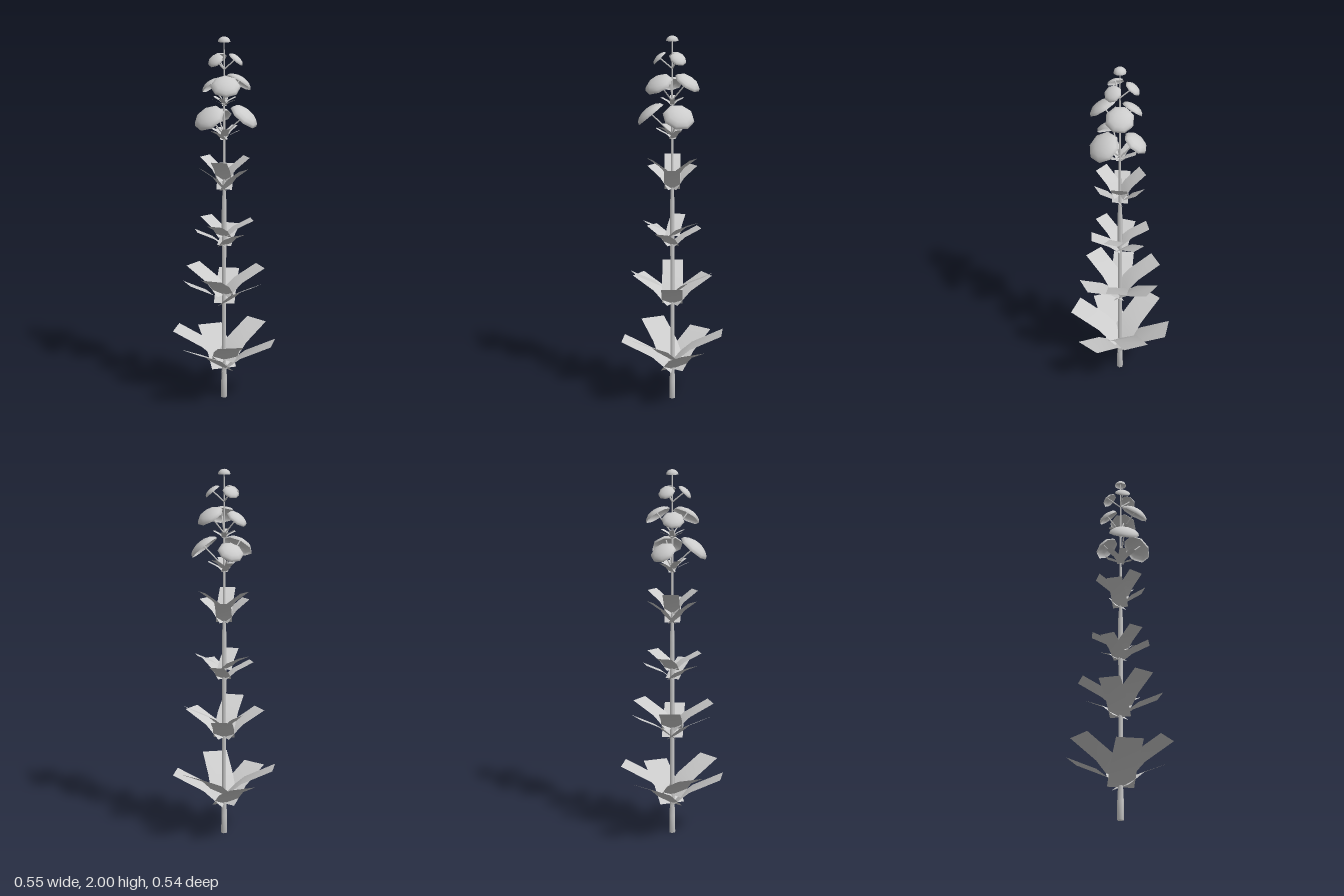
import * as THREE from 'three';

const mat = new THREE.MeshStandardMaterial({ color: 0xcccccc, side: THREE.DoubleSide });
const rad = THREE.MathUtils.degToRad;
const UP = new THREE.Vector3(0, 1, 0);

function add(parent, name, geometry) {
  const mesh = new THREE.Mesh(geometry, mat);
  mesh.name = name;
  parent.add(mesh);
  return mesh;
}

// Strip leaf running out along +x: steep at the base, flatter toward the tip
function leafGeometry(length, width, rise) {
  const g = new THREE.PlaneGeometry(1, width, 2, 1);
  g.rotateX(-Math.PI / 2);
  const p = g.attributes.position;
  const profile = [[0, 0], [0.38, 0.52], [1, 1]];
  for (let i = 0; i < p.count; i++) {
    const [r, h] = profile[Math.round((p.getX(i) + 0.5) * 2)];
    p.setX(i, r * length);
    p.setY(i, h * rise);
  }
  g.computeVertexNormals();
  return g;
}

// Two sets of three leaves, the second set a little higher
function addWhorl(root, { y, step, length, width, rise, low, high }) {
  const whorl = new THREE.Group();
  whorl.name = 'leafWhorl';
  const geometry = leafGeometry(length, width, rise);
  [[low, y], [high, y + step]].forEach(([angles, level]) => {
    for (const a of angles) {
      const leaf = add(whorl, 'leaf', geometry);
      leaf.position.y = level;
      leaf.rotation.y = -rad(a);
    }
  });
  root.add(whorl);
}

// Thin cylinder between two points
function addStalk(parent, from, to, radius) {
  const d = to.clone().sub(from);
  const stalk = add(parent, 'flowerStalk', new THREE.CylinderGeometry(radius, radius, d.length(), 5));
  stalk.position.copy(from).addScaledVector(d, 0.5);
  stalk.quaternion.setFromUnitVectors(UP, d.normalize());
}

// Shallow domed cap, tilted outward, on a stalk
function addFlower(root, [x, y, z], radius, tilt, drop) {
  const flower = new THREE.Group();
  flower.name = 'flower';
  const rim = new THREE.Vector3(x, y, z);
  const out = new THREE.Vector3(x, 0, z).normalize();
  const axis = out.multiplyScalar(Math.sin(rad(tilt))).addScaledVector(UP, Math.cos(rad(tilt)));
  const cap = add(flower, 'flowerCap',
    new THREE.SphereGeometry(radius, 8, 4, 0, Math.PI * 2, 0, Math.PI / 2).scale(1, 0.5, 1));
  cap.position.copy(rim);
  cap.quaternion.setFromUnitVectors(UP, axis);
  const top = rim.clone().addScaledVector(axis, radius * 0.45);
  addStalk(flower, new THREE.Vector3(0, y - drop, 0), top, 0.004);
  root.add(flower);
}

export function createModel() {
  const root = new THREE.Group();
  root.name = 'floweringStalk';

  // Stem
  const stem = [[0, 0], [0.018, 0], [0.017, 0.1], [0.012, 0.2], [0.012, 0.8], [0.014, 1.02],
    [0.013, 1.12], [0.008, 1.2], [0.006, 1.6], [0.004, 1.85], [0.003, 1.98]];
  add(root, 'stem', new THREE.LatheGeometry(stem.map(([r, y]) => new THREE.Vector2(r, y)), 6));

  // Leaf whorls, from the large lowest to the small ones among the flowers
  const whorls = [
    { y: 0.17, step: 0.05, length: 0.274, width: 0.14, rise: 0.17, low: [60, 180, 300], high: [0, 130, 240] },
    { y: 0.55, step: 0.05, length: 0.218, width: 0.114, rise: 0.14, low: [85, 205, 325], high: [24, 156, 265] },
    { y: 0.88, step: 0.05, length: 0.153, width: 0.08, rise: 0.09, low: [107, 217, 337], high: [37, 157, 277] },
    { y: 1.19, step: 0.05, length: 0.13, width: 0.085, rise: 0.12, low: [85, 205, 325], high: [25, 150, 265] },
    { y: 1.46, step: 0.015, length: 0.085, width: 0.04, rise: 0.055, low: [60, 180, 300], high: [0, 130, 240] },
    { y: 1.64, step: 0.01, length: 0.065, width: 0.025, rise: 0.035, low: [85, 205, 325], high: [25, 155, 265] },
  ];
  whorls.forEach((w) => addWhorl(root, w));

  // Flowers: rim centre, radius, outward tilt, stalk drop
  const flowers = [
    [[-0.112, 1.585, 0], 0.085, 40, 0.1],
    [[0.042, 1.585, 0.098], 0.085, 40, 0.1],
    [[0.035, 1.57, -0.07], 0.07, 38, 0.09],
    [[-0.062, 1.75, 0.066], 0.078, 35, 0.09],
    [[0.08, 1.755, 0.028], 0.074, 35, 0.09],
    [[-0.015, 1.74, -0.07], 0.06, 38, 0.08],
    [[-0.064, 1.88, 0], 0.044, 45, 0.05],
    [[0.02, 1.88, -0.058], 0.045, 40, 0.05],
    [[0.034, 1.88, 0.048], 0.046, 40, 0.05],
  ];
  flowers.forEach((f) => addFlower(root, ...f));

  // Bud at the tip
  const bud = add(root, 'topBud',
    new THREE.SphereGeometry(0.033, 8, 4, 0, Math.PI * 2, 0, Math.PI / 2).scale(1, 0.85, 1));
  bud.position.y = 1.972;

  return root;
}
